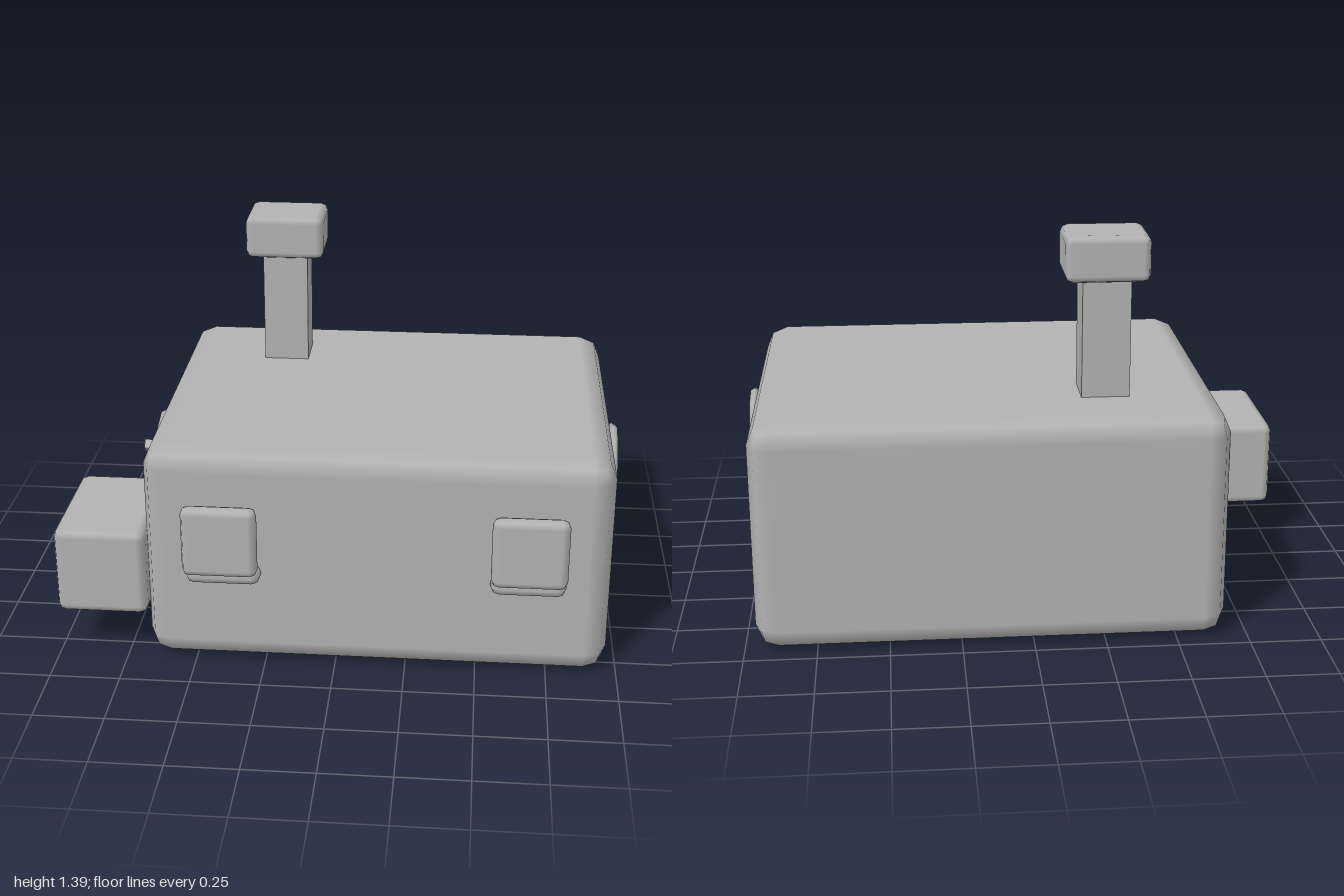
import * as THREE from 'three';
import { RoundedBoxGeometry } from 'three/addons/geometries/RoundedBoxGeometry.js';

export function createModel() {
  const group = new THREE.Group();
  const grey = new THREE.MeshStandardMaterial({ color: 0xb2b2b2 });
  grey.name = 'grey';

  const add = (name, geometry, x, y, z) => {
    const mesh = new THREE.Mesh(geometry, grey);
    mesh.name = name;
    mesh.position.set(x, y, z);
    group.add(mesh);
    return mesh;
  };

  // Box given by its extents on each axis, with bevelled edges when r > 0
  const block = (name, [x0, x1], [y0, y1], [z0, z1], r = 0) => {
    const size = [x1 - x0, y1 - y0, z1 - z0];
    const geometry = r ? new RoundedBoxGeometry(...size, 1, r) : new THREE.BoxGeometry(...size);
    return add(name, geometry, (x0 + x1) / 2, (y0 + y1) / 2, (z0 + z1) / 2);
  };

  // Main body and the smaller box on its right side
  block('body', [-0.675, 0.963], [0, 0.82], [-0.714, 0.597], 0.082);
  block('sideBox', [-1, -0.673], [0.167, 0.492], [0.107, 0.591], 0.03);

  // Chimney with cap
  block('chimney', [-0.349, -0.181], [0.7, 1.25], [-0.467, -0.301]);
  block('chimneyCap', [-0.411, -0.119], [1.233, 1.395], [-0.508, -0.265], 0.026);

  // Front plates, each standing off above a small ledge
  for (const x of [-0.389, 0.675]) {
    const span = [x - 0.131, x + 0.131];
    block('frontPlate', span, [0.398, 0.658], [0.655, 0.715], 0.027);
    block('frontLedge', span, [0.333, 0.397], [0.56, 0.651], 0.03);
  }

  // Ten-sided side rings, each around a square pin
  const ringGeometry = new THREE.TorusGeometry(0.131, 0.017, 6, 10);
  ringGeometry.rotateZ(Math.PI / 2).rotateY(Math.PI / 2);
  const pinGeometry = new THREE.CylinderGeometry(0.025, 0.025, 0.13, 4).toNonIndexed();
  pinGeometry.rotateZ(Math.PI / 2);
  pinGeometry.computeVertexNormals();
  for (const [ringX, pinX] of [[-0.689, -0.706], [0.981, 0.904]]) {
    add('sideRing', ringGeometry, ringX, 0.577, 0.025);
    add('sidePin', pinGeometry, pinX, 0.577, 0.025);
  }

  return group;
}
